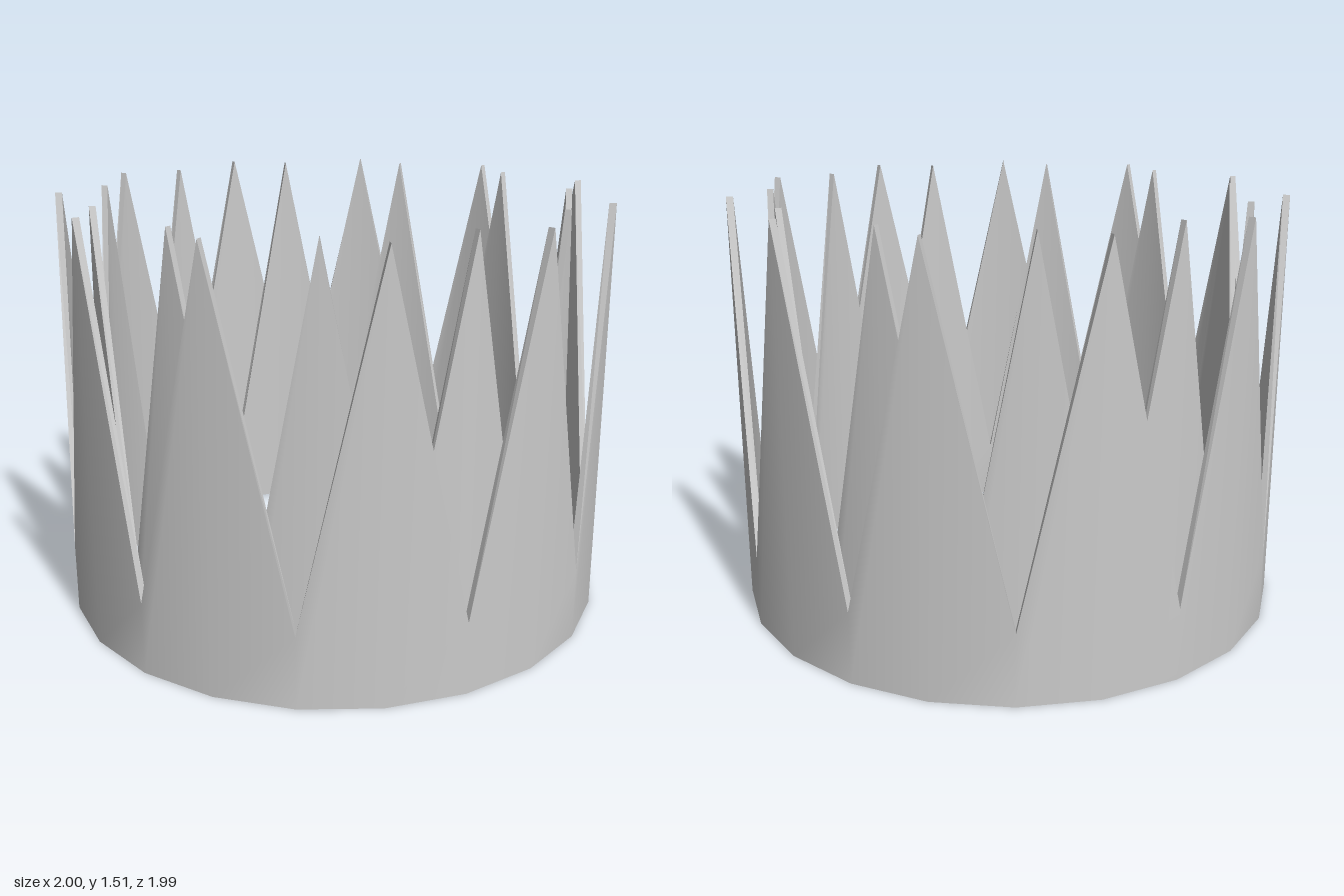
import * as THREE from 'three';
import { mergeGeometries } from 'three/addons/utils/BufferGeometryUtils.js';

const SPIKES = 11;
const SIDES = SPIKES * 2;

// Closed ribbon between two loops of points, facing outward when `low` lies below `high`
function ribbon(low, high, smooth) {
  const index = [];
  for (let i = 0; i < SIDES; i++) {
    const j = (i + 1) % SIDES;
    index.push(i, j, SIDES + j, i, SIDES + j, SIDES + i);
  }
  const indexed = new THREE.BufferGeometry().setFromPoints([...low, ...high]);
  indexed.setIndex(index);
  if (smooth) indexed.computeVertexNormals();
  const geometry = indexed.toNonIndexed();
  if (!smooth) geometry.computeVertexNormals();
  return geometry;
}

// Thin round band whose upper edge zigzags between peaks and valleys
function spikedBand(name, { outer, inner, peak, valley, firstPeak }) {
  const loop = (radius, height) => Array.from({ length: SIDES }, (_, i) => {
    const a = THREE.MathUtils.degToRad(firstPeak) + (i / SIDES) * Math.PI * 2;
    return new THREE.Vector3(Math.sin(a) * radius, height(i), Math.cos(a) * radius);
  });
  const zigzag = (i) => (i % 2 === 0 ? peak : valley);
  const ground = () => 0;

  const outTop = loop(outer, zigzag), outBase = loop(outer, ground);
  const inTop = loop(inner, zigzag), inBase = loop(inner, ground);

  const geometry = mergeGeometries([
    ribbon(outBase, outTop, true),  // outside wall
    ribbon(inTop, inBase, true),    // inside wall
    ribbon(outTop, inTop, false),   // zigzag rim
    ribbon(inBase, outBase, false), // bottom rim
  ]);
  const mesh = new THREE.Mesh(geometry, new THREE.MeshStandardMaterial({ color: 0xcccccc }));
  mesh.name = name;
  return mesh;
}

export function createModel() {
  const crown = new THREE.Group();
  crown.name = 'crown';

  // Two nested bands, the inner one turned so its spikes fill the gaps
  crown.add(
    spikedBand('outerBand', { outer: 1, inner: 0.975, peak: 1.51, valley: 0.26, firstPeak: 6.84 }),
    spikedBand('innerBand', { outer: 0.883, inner: 0.86, peak: 1.51, valley: 0.23, firstPeak: 27.4 }),
  );
  return crown;
}
